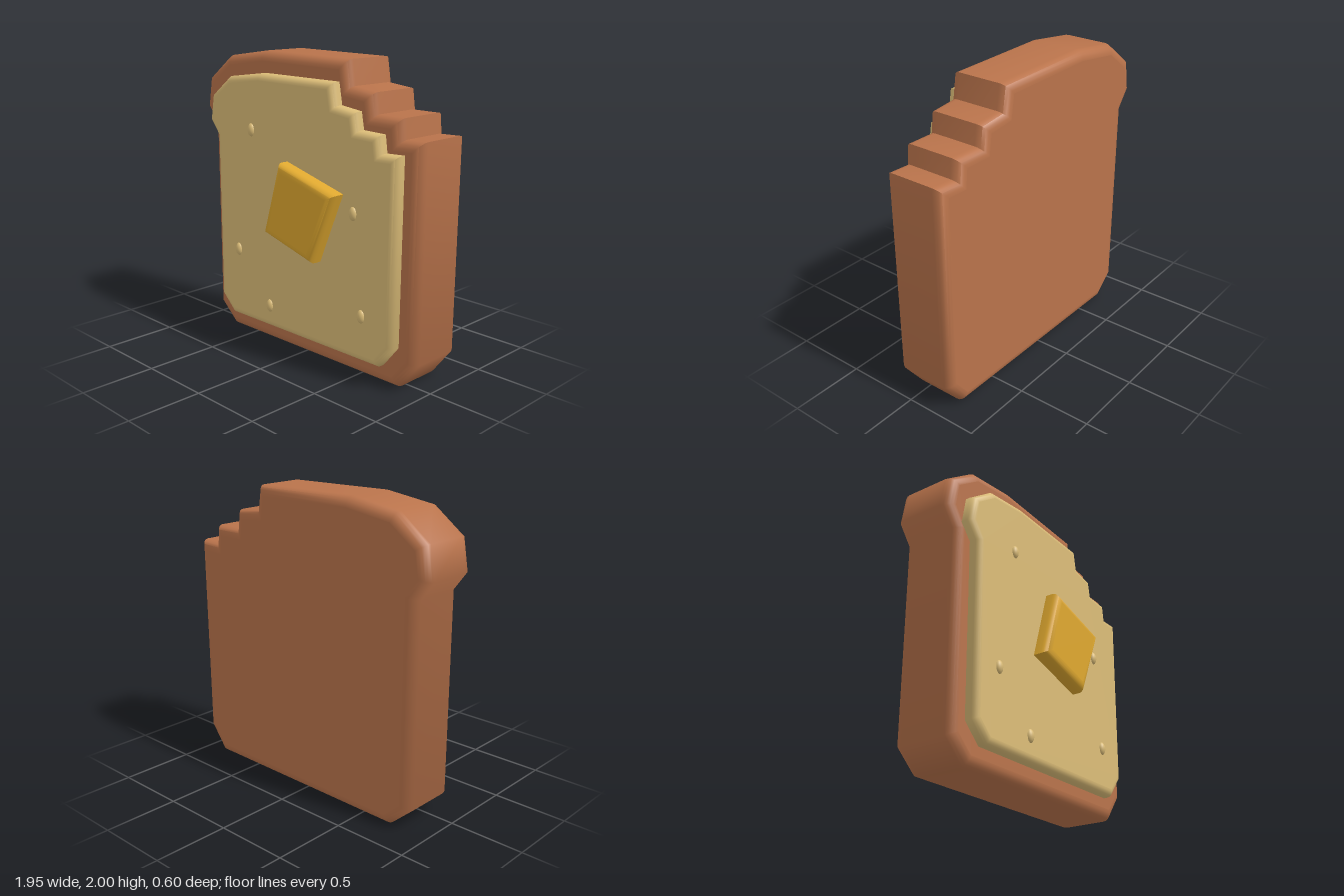
import * as THREE from 'three';
import { toCreasedNormals } from 'three/addons/utils/BufferGeometryUtils.js';

// Rounded slab filling the outline exactly, between z = back and z = front
function slab(points, back, front, bevel) {
  const shape = new THREE.Shape(points.map(([x, y]) => new THREE.Vector2(x, y)));
  const extruded = new THREE.ExtrudeGeometry(shape, {
    depth: front - back - 2 * bevel, bevelEnabled: true, bevelThickness: bevel,
    bevelSize: bevel, bevelOffset: -bevel, bevelSegments: 5, steps: 1,
  });
  extruded.translate(0, 0, back + bevel);
  const geometry = toCreasedNormals(extruded, 0.95);

  // Keep the front and back faces evenly flat
  const p = geometry.attributes.position, n = geometry.attributes.normal;
  const tri = new THREE.Triangle(), normal = new THREE.Vector3();
  for (let i = 0; i < p.count; i += 3) {
    tri.setFromAttributeAndIndices(p, i, i + 1, i + 2).getNormal(normal);
    if (Math.abs(normal.z) < 0.999) continue;
    for (let k = 0; k < 3; k++) n.setXYZ(i + k, 0, 0, Math.sign(normal.z));
  }
  geometry.clearGroups();
  return geometry;
}

export function createModel() {
  const model = new THREE.Group();
  model.name = 'toast';

  const material = (name, color) => {
    const m = new THREE.MeshStandardMaterial({ color });
    m.name = name;
    return m;
  };
  const crust = material('crust brown', 0xb9734b);
  const cream = material('crumb tan', 0xdcbd78);
  const yellow = material('butter yellow', 0xdfa82f);

  const add = (name, geometry, mat) => {
    const mesh = new THREE.Mesh(geometry, mat);
    mesh.name = name;
    model.add(mesh);
    return mesh;
  };

  // Crust slice with a stepped bite at the upper corner
  add('crust', slab([
    [-0.72, 0], [0.825, 0.015], [0.96, 0.19], [0.972, 1.56], [0.82, 1.555],
    [0.808, 1.68], [0.61, 1.68], [0.593, 1.81], [0.41, 1.83], [0.385, 1.99],
    [-0.37, 2], [-0.725, 1.95], [-0.94, 1.79], [-0.975, 1.58], [-0.883, 1.46],
    [-0.878, 0.14],
  ], -0.3, 0.125, 0.065), crust);

  // Crumb face following the same outline, inset
  add('crumb', slab([
    [-0.635, 0.133], [0.73, 0.145], [0.845, 0.29], [0.857, 1.475], [0.725, 1.47],
    [0.71, 1.58], [0.54, 1.585], [0.52, 1.695], [0.36, 1.715], [0.335, 1.855],
    [-0.33, 1.86], [-0.635, 1.82], [-0.815, 1.685], [-0.847, 1.505], [-0.765, 1.405],
    [-0.76, 0.25],
  ], 0.06, 0.2, 0.045), cream);

  // Tilted pat of butter
  add('butter', slab([
    [-0.195, 0.84], [0.25, 0.72], [0.445, 1.19], [-0.05, 1.322],
  ], 0.13, 0.3, 0.05), yellow);

  // Crumbs scattered over the face
  const bead = new THREE.SphereGeometry(1, 20, 14);
  [[-0.4, 1.485], [0.525, 1.083], [-0.55, 0.63], [0.6, 0.445], [-0.235, 0.295]]
    .forEach(([x, y], i) => {
      const mesh = add('crumbBead' + (i + 1), bead, cream);
      mesh.position.set(x, y, 0.195);
      mesh.scale.set(0.03, 0.045, 0.026);
    });

  return model;
}
